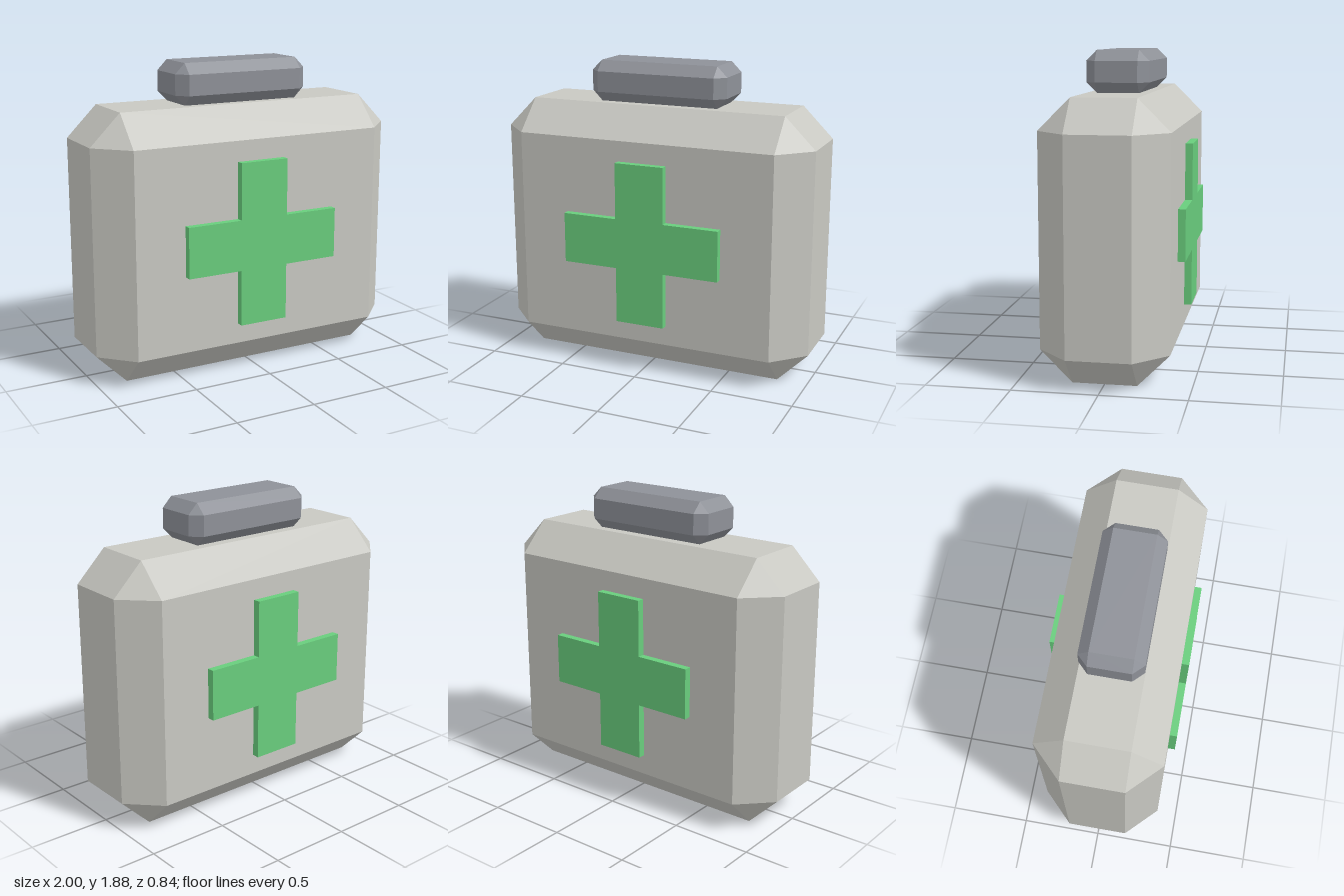
import * as THREE from 'three';
import { ConvexGeometry } from 'three/addons/geometries/ConvexGeometry.js';

const flat = (name, color) => {
  const m = new THREE.MeshStandardMaterial({ color });
  m.name = name;
  return m;
};

// Box with every edge cut at 45 degrees; a, b, c are half sizes, k the cut
function chamferedBox(a, b, c, k) {
  const points = [];
  for (const x of [-1, 1]) for (const y of [-1, 1]) for (const z of [-1, 1]) {
    points.push(
      new THREE.Vector3(x * a, y * (b - k), z * (c - k)),
      new THREE.Vector3(x * (a - k), y * b, z * (c - k)),
      new THREE.Vector3(x * (a - k), y * (b - k), z * c)
    );
  }
  return new ConvexGeometry(points);
}

// Plus-shaped outline: r is the reach, w the half width of an arm
function crossShape(r, w) {
  return new THREE.Shape([
    [w, r], [-w, r], [-w, w], [-r, w], [-r, -w], [-w, -w],
    [-w, -r], [w, -r], [w, -w], [r, -w], [r, w], [w, w]
  ].map(([x, y]) => new THREE.Vector2(x, y)));
}

export function createModel() {
  const group = new THREE.Group();
  group.name = 'firstAidCase';
  const caseGrey = flat('case grey', 0xc8c8c2);
  const handleGrey = flat('handle grey', 0x8e9198);
  const crossGreen = flat('cross green', 0x69cd7d);

  const add = (name, geometry, material, y) => {
    const mesh = new THREE.Mesh(geometry, material);
    mesh.name = name;
    mesh.position.y = y;
    group.add(mesh);
    return mesh;
  };

  // Case body and the grip resting on its top
  add('caseBody', chamferedBox(1, 0.8125, 0.375, 0.1875), caseGrey, 0.8125);
  add('handle', chamferedBox(0.4375, 0.125, 0.1875, 0.0625), handleGrey, 1.75);

  // Raised cross on the front and the back
  const cross = new THREE.ExtrudeGeometry(crossShape(0.5, 0.155), { depth: 0.047, bevelEnabled: false });
  add('frontCross', cross, crossGreen, 0.8125).position.z = 0.373;
  const back = add('backCross', cross, crossGreen, 0.8125);
  back.position.z = -0.373;
  back.rotation.y = Math.PI;

  return group;
}
